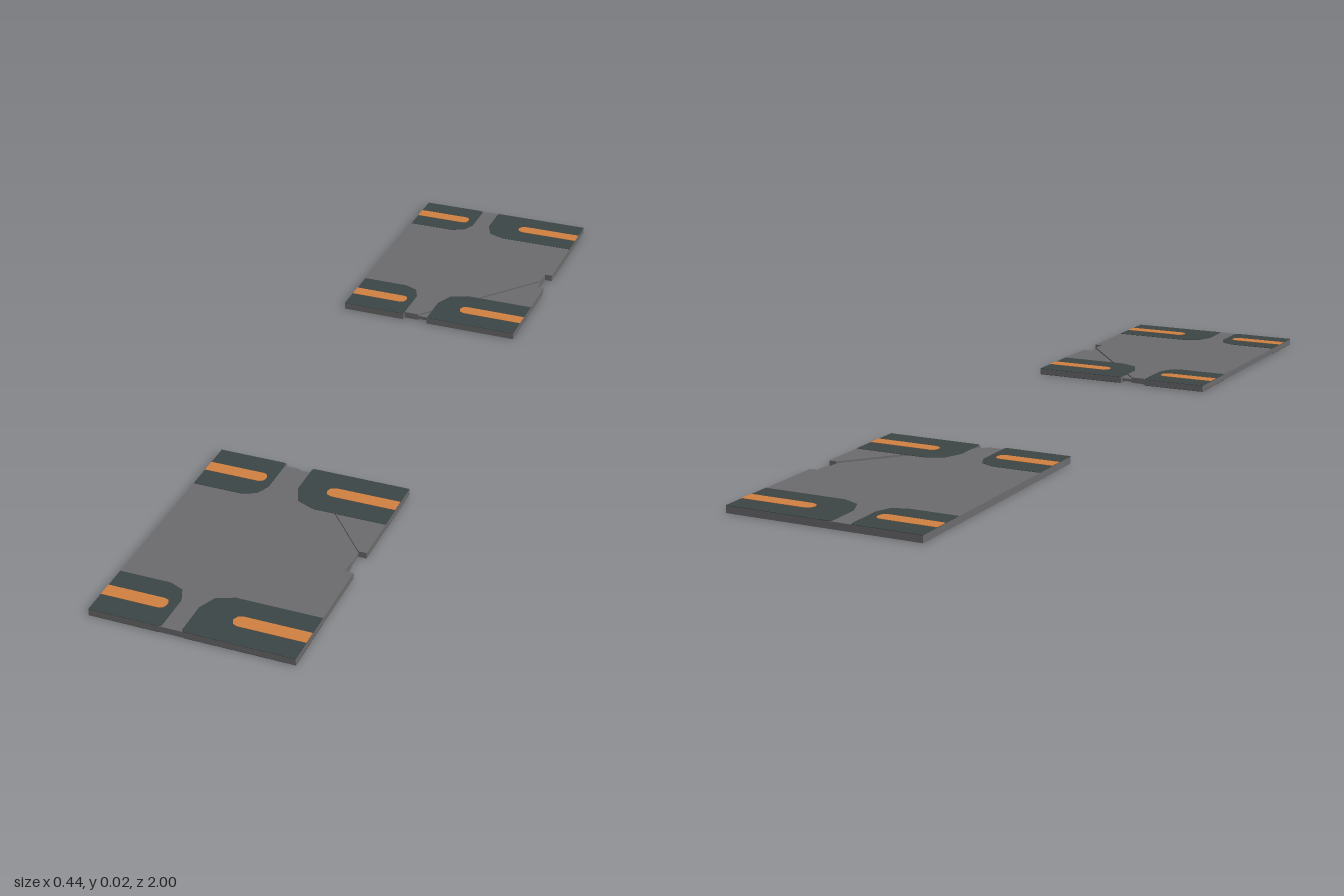
import * as THREE from 'three';

const W = 0.222, Z0 = 0.37, Z1 = 1, T = 0.017, SKIN = 0.0008;

const shellGrey = new THREE.MeshStandardMaterial({ color: 0x6b6a6c });
shellGrey.name = 'shell grey';
const padSlate = new THREE.MeshStandardMaterial({ color: 0x3c4545 });
padSlate.name = 'pad slate';
const stripeOrange = new THREE.MeshStandardMaterial({ color: 0xd08040 });
stripeOrange.name = 'stripe orange';

// Flat slab from [x, z] corners, lying between heights y0 and y1
function slab(name, points, side, y0, y1, material) {
  const shape = new THREE.Shape(points.map(([x, z]) => new THREE.Vector2(x, -z * side)));
  const geometry = new THREE.ExtrudeGeometry(shape, { depth: y1 - y0, bevelEnabled: false });
  geometry.rotateX(-Math.PI / 2);
  geometry.translate(0, y0, 0);
  const mesh = new THREE.Mesh(geometry, material);
  mesh.name = name;
  return mesh;
}

// Bar running from the plate edge to a chamfered inner tip.
// c0, c1 are the cuts at the zA and zB corners.
function bar(outer, tip, zA, zB, c0, c1) {
  const d = Math.sign(tip - outer);
  return [
    [outer, zA], [tip - d * c0, zA], [tip - d * c0 * 0.3, zA + c0 * 0.3], [tip, zA + c0],
    [tip, zB - c1], [tip - d * c1 * 0.3, zB - c1 * 0.3], [tip - d * c1, zB], [outer, zB],
  ];
}

// Four dark pads with orange stripes on one face of a plate
function markings(name, side, y, up) {
  const group = new THREE.Group();
  group.name = name;
  const pads = [
    bar(-W, -0.065, Z0, 0.515, 0.006, 0.045),
    bar(W, -0.003, Z0, 0.515, 0.006, 0.06),
    bar(-W, -0.063, 0.862, Z1, 0.045, 0.006),
    bar(W, -0.02, 0.862, Z1, 0.055, 0.006),
  ];
  const stripes = [
    bar(-W, -0.083, 0.425, 0.458, 0.012, 0.012),
    bar(W, 0.06, 0.425, 0.458, 0.015, 0.015),
    bar(-W, -0.083, 0.914, 0.947, 0.012, 0.012),
    bar(W, 0.06, 0.914, 0.947, 0.015, 0.015),
  ];
  const layer = (label, list, level, material) => list.forEach((points) => {
    const a = y + up * level * SKIN, b = a + up * SKIN;
    group.add(slab(label, points, side, Math.min(a, b), Math.max(a, b), material));
  });
  layer('pad', pads, 0, padSlate);
  layer('stripe', stripes, 1, stripeOrange);
  return group;
}

// One plate: main panel, corner panel and the sunken diagonal seam between them
function plate(name, side, bothFaces) {
  const group = new THREE.Group();
  group.name = name;
  const low = bothFaces ? 2 * SKIN : 0, high = T - 2 * SKIN;
  group.add(slab('mainPanel', [
    [-W, Z0], [-0.065, Z0], [-0.065, 0.38], [-0.03, 0.38], [0.204, 0.665],
    [0.204, 0.7], [W, 0.7], [W, Z1], [-W, Z1],
  ], side, low, high, shellGrey));
  group.add(slab('cornerPanel', [
    [-0.003, Z0], [W, Z0], [W, 0.625], [0.204, 0.625], [-0.003, 0.385],
  ], side, low, high, shellGrey));
  group.add(slab('diagonalSeam', [
    [-0.03, 0.38], [-0.003, 0.38], [-0.003, 0.385], [0.204, 0.625], [0.204, 0.665],
  ], side, low + 0.003, high - 0.004, shellGrey));
  group.add(markings('topMarkings', side, high, 1));
  if (bothFaces) group.add(markings('bottomMarkings', side, low, -1));
  return group;
}

export function createModel() {
  const model = new THREE.Group();
  model.name = 'pairOfPlates';
  model.add(plate('frontPlate', 1, true), plate('backPlate', -1, false));
  return model;
}
